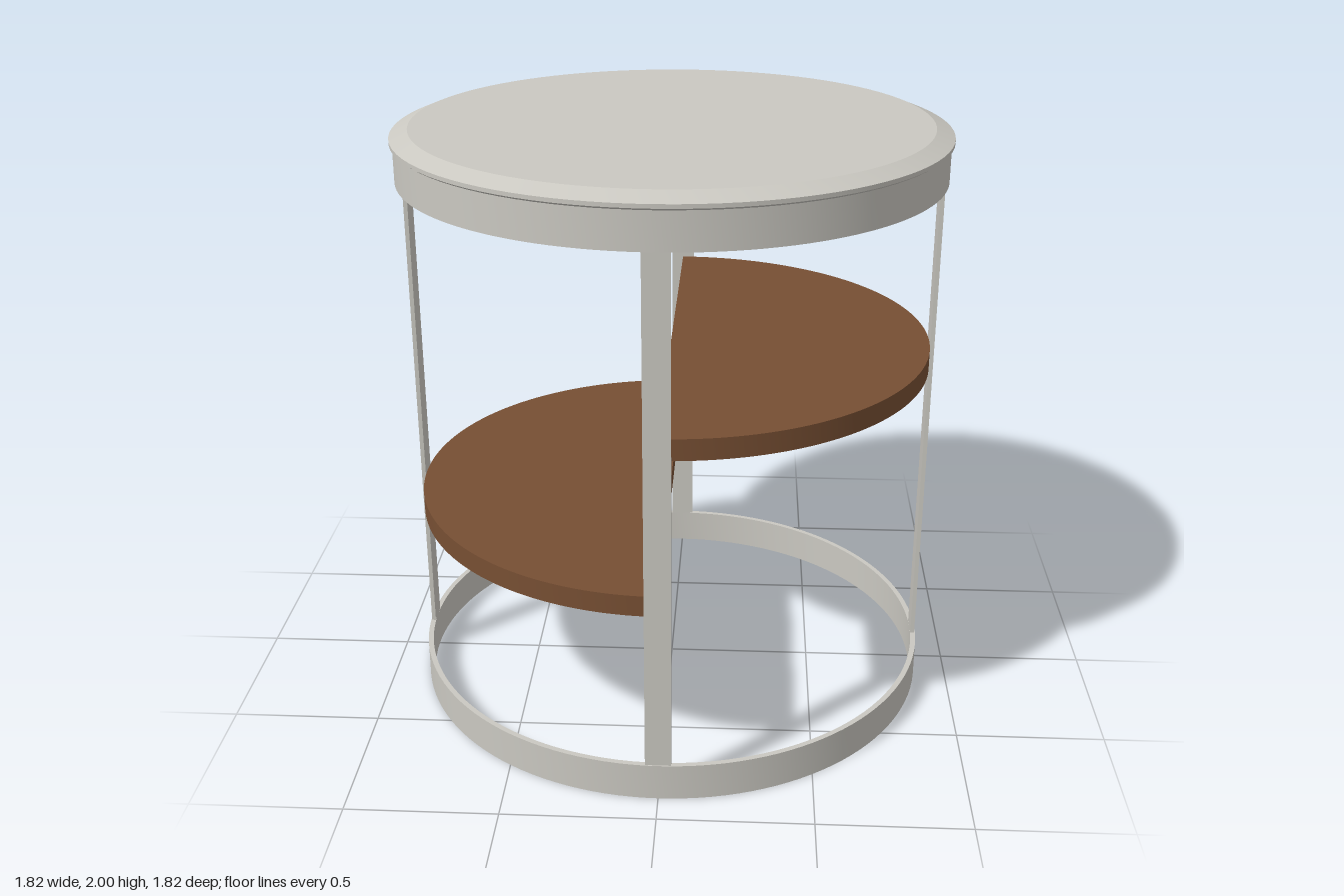
import * as THREE from 'three';
import { toCreasedNormals } from 'three/addons/utils/BufferGeometryUtils.js';

const metal = new THREE.MeshStandardMaterial({ color: 0xcac8c1 });
metal.name = 'warm grey metal';
const wood = new THREE.MeshStandardMaterial({ color: 0x774f33 });
wood.name = 'brown wood';

// Extrudes a plan shape upwards from y = bottom to y = top
function slab(shape, bottom, top) {
  const geometry = new THREE.ExtrudeGeometry(shape, {
    depth: top - bottom, bevelEnabled: false, curveSegments: 64,
  });
  geometry.rotateX(-Math.PI / 2).translate(0, bottom, 0);
  return toCreasedNormals(geometry, 0.3);
}

function ringShape(outer, inner) {
  const shape = new THREE.Shape().absarc(0, 0, outer, 0, Math.PI * 2, false);
  shape.holes.push(new THREE.Path().absarc(0, 0, inner, 0, Math.PI * 2, true));
  return shape;
}

export function createModel() {
  const group = new THREE.Group();
  function add(name, geometry, material, parent = group) {
    const mesh = new THREE.Mesh(geometry, material);
    mesh.name = name;
    parent.add(mesh);
    return mesh;
  }

  // Flat hoops at the floor and beneath the top
  add('baseRing', slab(ringShape(0.895, 0.877), 0, 0.125), metal);
  add('topRing', slab(ringShape(0.9, 0.882), 1.835, 1.957), metal);

  // Round top with a bevelled rim
  const profile = [
    [0, 1.955], [0.9, 1.955], [0.91, 1.962], [0.91, 1.975], [0.85, 2], [0, 2],
  ].map(([r, y]) => new THREE.Vector2(r, y));
  add('tableTop', toCreasedNormals(new THREE.LatheGeometry(profile, 96), 0.3), metal);

  // Four flat uprights, a quarter turn apart
  for (let i = 0; i < 4; i++) {
    const post = add('post', new THREE.BoxGeometry(0.084, 1.74, 0.014), metal);
    post.position.set(Math.sin(i * Math.PI / 2) * 0.884, 0.98, Math.cos(i * Math.PI / 2) * 0.884);
    post.rotation.y = i * Math.PI / 2;
  }

  // Half-round shelves at two heights, on opposite sides
  for (const [name, side, y] of [['upperShelf', 1, 1.19], ['lowerShelf', -1, 0.662]]) {
    const half = new THREE.Shape();
    half.absarc(0, 0, 0.875, -Math.PI / 2, Math.PI / 2, false);
    half.closePath();
    const shelf = new THREE.Group();
    shelf.name = name;
    shelf.rotation.y = side > 0 ? 0 : Math.PI;
    group.add(shelf);
    add('shelfBoard', slab(half, y, y + 0.07), wood, shelf);

    // Small tabs carrying the board at each upright
    for (const turn of [-1, 0, 1]) {
      const arm = new THREE.Group();
      arm.name = 'shelfBracket';
      arm.rotation.y = turn * Math.PI / 2;
      shelf.add(arm);
      const width = turn === 0 ? 0.07 : 0.04;
      const offset = turn === 0 ? 0 : turn * 0.02;
      add('bracketTab', new THREE.BoxGeometry(0.045, 0.008, width), metal, arm)
        .position.set(0.855, y - 0.004, offset);
      add('bracketFoot', new THREE.BoxGeometry(0.01, 0.02, width), metal, arm)
        .position.set(0.873, y - 0.01, offset);
    }
  }
  return group;
}
